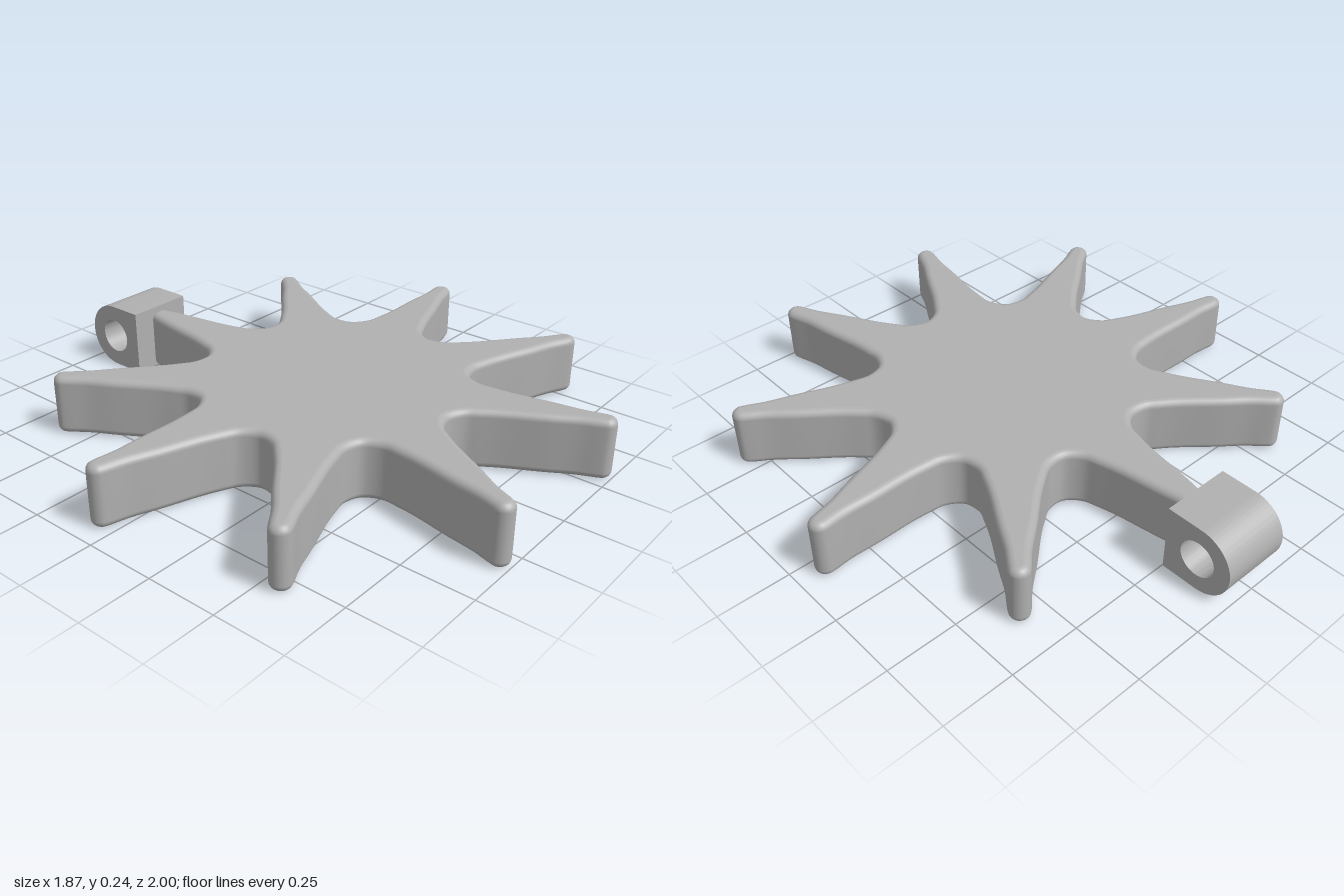
import * as THREE from 'three';
import { toCreasedNormals } from 'three/addons/utils/BufferGeometryUtils.js';

const ARMS = 9, HEIGHT = 0.215, BEVEL = 0.025;
const HOLE_RADIUS = 0.185, HOLE_DEPTH = 0.13;

// Outline of the star, counter-clockwise; the first arm is cut short at the hinge
function starOutline() {
  // distance along the arm, half width
  const side = [[0.46, 0.135], [0.49, 0.112], [0.53, 0.1], [0.6, 0.083], [0.74, 0.061], [0.84, 0.042]];
  const pts = [];
  for (let k = 0; k < ARMS; k++) {
    const a = -k * Math.PI * 2 / ARMS;
    const add = (r, w) => pts.push(new THREE.Vector3(
      Math.sin(a) * r + Math.cos(a) * w, Math.cos(a) * r - Math.sin(a) * w, 0));
    const tip = k === 0 ? 0.86 : 0.915;
    add(0.442, 0.161);
    side.forEach(([r, w]) => add(r, w));
    for (let i = 0; i <= 6; i++) {
      const t = i * Math.PI / 6;
      add(tip + 0.036 * Math.sin(t), 0.036 * Math.cos(t));
    }
    [...side].reverse().forEach(([r, w]) => add(r, -w));
  }
  const curve = new THREE.CatmullRomCurve3(pts, true, 'centripetal');
  return curve.getPoints(pts.length * 4).slice(0, -1);
}

// Outline moved inwards along its normals
function inset(points, d) {
  const n = points.length;
  return points.map((p, i) => {
    const t = points[(i + 1) % n].clone().sub(points[(i + n - 1) % n]).normalize();
    return new THREE.Vector2(p.x - t.y * d, p.y + t.x * d);
  });
}

// Side wall with rounded upper and lower edges, built from stacked outlines
function wallGeometry(outline) {
  const levels = [];
  for (let i = 0; i <= 5; i++) {
    const t = i * Math.PI / 10;
    levels.push([BEVEL * (1 - Math.sin(t)), BEVEL * (1 - Math.cos(t))]);
  }
  const upper = [...levels].reverse().map(([d, h]) => [d, HEIGHT - h]);
  const all = [...levels, ...upper];
  const n = outline.length, pos = [], idx = [];
  all.forEach(([d, h], j) => {
    inset(outline, d).forEach((p, i) => {
      pos.push(p.x, p.y, h);
      if (j === all.length - 1) return;
      const a = j * n + i, b = j * n + (i + 1) % n;
      idx.push(a, b, b + n, a, b + n, a + n);
    });
  });
  const g = new THREE.BufferGeometry();
  g.setAttribute('position', new THREE.Float32BufferAttribute(pos, 3));
  g.setIndex(idx);
  g.computeVertexNormals();
  return g.rotateX(-Math.PI / 2);
}

export function createModel() {
  const model = new THREE.Group();
  model.name = 'starWheel';
  const grey = new THREE.MeshStandardMaterial({ color: 0xb0b0b0 });
  grey.name = 'grey';
  const add = (parent, name, geometry) => {
    const m = new THREE.Mesh(geometry, grey);
    m.name = name;
    parent.add(m);
    return m;
  };

  // Nine-armed body
  const star = new THREE.Group();
  star.name = 'starBody';
  star.position.z = 0.1;
  model.add(star);
  const outline = starOutline();
  const capPoints = inset(outline, BEVEL);
  add(star, 'starWall', wallGeometry(outline));
  add(star, 'starTop', new THREE.ShapeGeometry(new THREE.Shape(capPoints))
    .rotateX(-Math.PI / 2).translate(0, HEIGHT, 0));

  // Underside with a round blind recess; the star is symmetric, so it can be turned over
  const bottom = new THREE.Shape(capPoints);
  bottom.holes.push(new THREE.Path().absarc(0, 0, HOLE_RADIUS, 0, Math.PI * 2, true));
  add(star, 'starUnderside', new THREE.ShapeGeometry(bottom, 32)
    .rotateY(Math.PI).rotateX(-Math.PI / 2));
  const lathe = new THREE.LatheGeometry([
    new THREE.Vector2(HOLE_RADIUS, HOLE_DEPTH), new THREE.Vector2(HOLE_RADIUS, 0)], 64);
  add(star, 'recessWall', lathe);
  add(star, 'recessCeiling', new THREE.CircleGeometry(HOLE_RADIUS, 64)
    .rotateX(Math.PI / 2).translate(0, HOLE_DEPTH, 0));

  // Hinge knuckle: square towards the star, round at the back, drilled through
  const profile = new THREE.Shape();
  profile.moveTo(0.752, 0);
  profile.lineTo(0.88, 0);
  profile.absarc(0.88, 0.12, 0.12, -Math.PI / 2, Math.PI / 2, false);
  profile.lineTo(0.752, 0.24);
  profile.closePath();
  profile.holes.push(new THREE.Path().absarc(0.876, 0.12, 0.064, 0, Math.PI * 2, true));
  const knuckle = new THREE.ExtrudeGeometry(profile, { depth: 0.25, bevelEnabled: false, curveSegments: 32 });
  knuckle.translate(0, 0, -0.125).rotateY(Math.PI / 2);
  add(model, 'hingeKnuckle', toCreasedNormals(knuckle, 0.6));
  return model;
}
